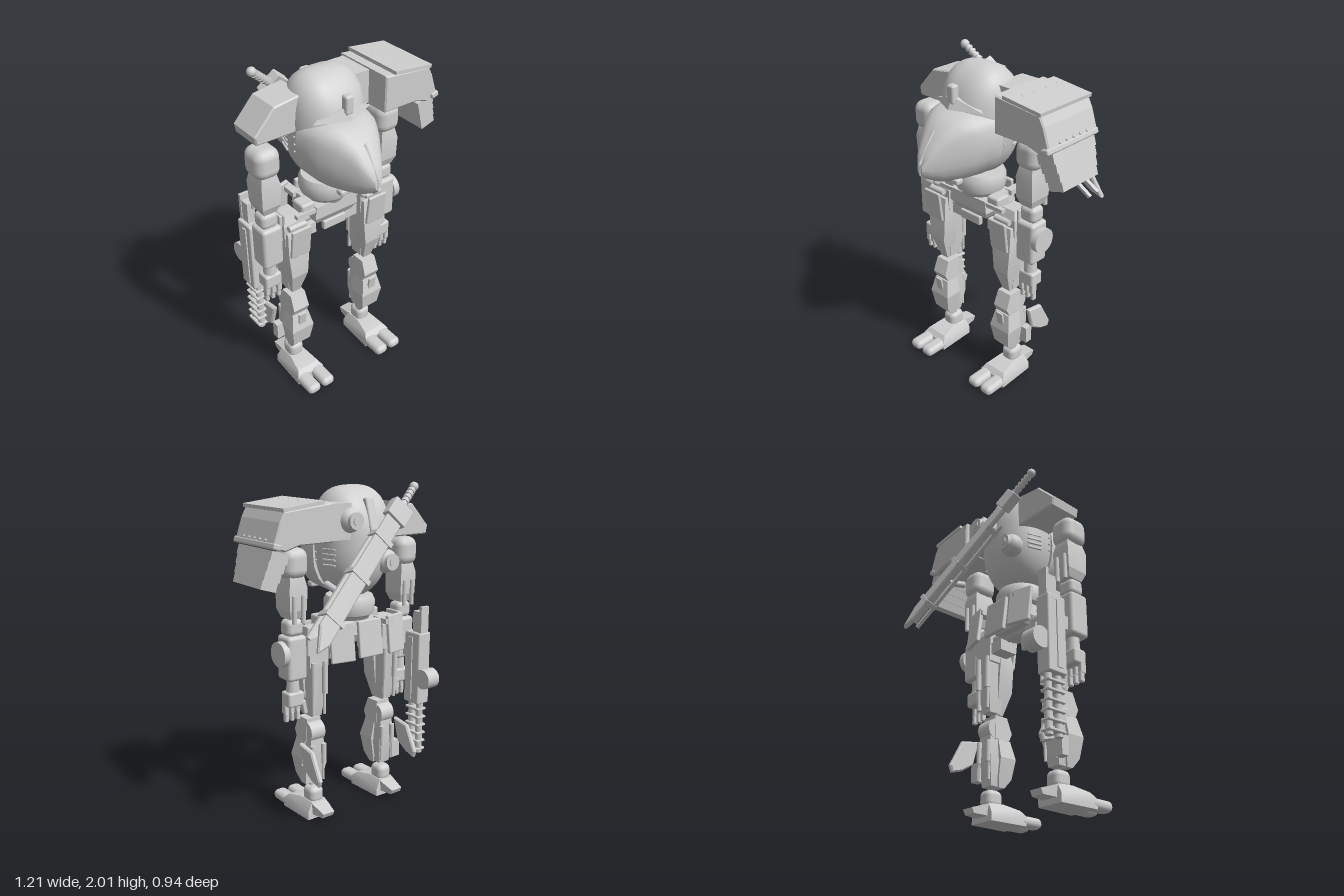
import * as THREE from 'three';
import { toCreasedNormals, mergeVertices } from 'three/addons/utils/BufferGeometryUtils.js';
import { RoundedBoxGeometry } from 'three/addons/geometries/RoundedBoxGeometry.js';
import { ConvexGeometry } from 'three/addons/geometries/ConvexGeometry.js';

const grey = new THREE.MeshStandardMaterial({ color: 0xcfcfcf });
grey.name = 'light grey armour';
const C = -0.12; // centre line of the body

function add(parent, name, geo, x = 0, y = 0, z = 0, rx = 0, ry = 0, rz = 0) {
  const m = new THREE.Mesh(geo, grey);
  m.name = name;
  m.position.set(x, y, z);
  m.rotation.set(rx, ry, rz);
  parent.add(m);
  return m;
}
function group(parent, name, x = 0, y = 0, z = 0) {
  const g = new THREE.Group();
  g.name = name;
  g.position.set(x, y, z);
  parent.add(g);
  return g;
}
const box = (w, h, d) => new THREE.BoxGeometry(w, h, d);
const round = (w, h, d, r = 0.02) => new RoundedBoxGeometry(w, h, d, 3, r);
const ball = r => new THREE.SphereGeometry(r, 20, 14);
const cyl = (r0, r1, h, n = 24) => new THREE.CylinderGeometry(r0, r1, h, n);
const cylX = (r, h) => cyl(r, r, h, 28).rotateZ(Math.PI / 2);
const cylZ = (r, h) => cyl(r, r, h, 28).rotateX(Math.PI / 2);
const hull = (pts, crease = 0.3) =>
  toCreasedNormals(new ConvexGeometry(pts.map(p => new THREE.Vector3(...p))), crease);

// Convex block from level rectangles [y, halfWidth, zBack, zFront]
const stack = levels => hull(levels.flatMap(([y, w, b, f]) => [[-w, y, b], [w, y, b], [w, y, f], [-w, y, f]]));

// Outline drawn in x,y and given a depth along z
function prism(pts, depth, bevel = 0.008) {
  const shape = new THREE.Shape(pts.map(p => new THREE.Vector2(...p)));
  const g = new THREE.ExtrudeGeometry(shape, { depth: depth - 2 * bevel, bevelSize: bevel, bevelThickness: bevel,
    bevelOffset: -bevel, bevelSegments: 1, bevelEnabled: true });
  return g.translate(0, 0, -depth / 2 + bevel);
}
// Outline drawn in z,y and given a width along x
const sidePrism = (pts, width) => prism(pts, width).rotateY(-Math.PI / 2);

function buildBody(root) {
  // Egg with a broad flat top: sphere vertices pushed out to a superellipsoid
  let egg = new THREE.SphereGeometry(1, 48, 32);
  egg.deleteAttribute('uv');
  egg.deleteAttribute('normal');
  egg = mergeVertices(egg, 1e-4);
  const p = egg.attributes.position, e = 2.1;
  for (let i = 0; i < p.count; i++) {
    const v = new THREE.Vector3().fromBufferAttribute(p, i);
    const k = v.y > 0 ? 3 : 2.2;
    const xy = (Math.abs(v.x) ** k + Math.abs(v.y) ** k) ** (e / k);
    v.multiplyScalar((xy + Math.abs(v.z) ** e) ** (-1 / e));
    p.setXYZ(i, v.x * 0.222, v.y * 0.325, v.z * 0.222);
  }
  egg.computeVertexNormals();
  add(root, 'torso', egg, C, 1.675, 0);

  // Cockpit: rounded sections [z, halfWidth, bottom, middle, top]
  const sections = [[0.06, 0.228, 1.37, 1.62, 1.785], [0.14, 0.222, 1.37, 1.61, 1.785], [0.22, 0.2, 1.375, 1.6, 1.78],
    [0.3, 0.153, 1.385, 1.58, 1.755], [0.37, 0.105, 1.4, 1.56, 1.69], [0.44, 0.056, 1.44, 1.53, 1.595], [0.475, 0.02, 1.475, 1.51, 1.53]];
  const power = (v, q) => Math.sign(v) * Math.abs(v) ** q;
  const pts = sections.flatMap(([z, w, b, m, t]) => Array.from({ length: 20 }, (_, i) => {
    const a = i * Math.PI / 10, sin = Math.sin(a), q = sin > 0 ? 0.6 : 0.9;
    return [w * power(Math.cos(a), q), m + power(sin, q) * (sin > 0 ? t - m : m - b), z];
  }));
  add(root, 'cockpit', hull(pts, 0.55), C, 0, 0);
  add(root, 'cockpitFin', sidePrism([[0.34, 1.66], [0.365, 1.71], [0.478, 1.54], [0.48, 1.47], [0.44, 1.43]], 0.018), C);
  add(root, 'sensorMast', round(0.052, 0.11, 0.05, 0.015), C, 1.865, 0.215);
  add(root, 'sensorHood', hull([[-0.19, 1.785, 0.17], [0.19, 1.785, 0.17], [0, 1.855, 0.225], [0, 1.785, 0.255], [0, 1.855, 0.1]]), C);
  add(root, 'chinBar', round(0.21, 0.035, 0.05, 0.012), C, 1.392, 0.275);
  add(root, 'chinSensor', ball(0.022), C, 1.39, 0.355);
  add(root, 'spineRidge', round(0.06, 0.24, 0.04, 0.012), C, 1.82, -0.19, 0.3);

  for (const s of [-1, 1]) {
    for (let i = 0; i < 4; i++)
      add(root, 'sideVent', round(0.012, 0.014, 0.09, 0.004), C + s * 0.208, 1.56 + i * 0.03, -0.07, 0, s * 0.3);
    for (let i = 0; i < 5; i++)
      add(root, 'rivet', ball(0.006), C + s * 0.22, 1.58 + i * 0.045, 0.04);
  }
  // Round thrusters on the back
  for (const [x, y] of [[0.025, 1.82], [-0.24, 1.57]]) {
    const t = group(root, 'thruster', x, y, -0.175);
    add(t, 'thrusterBall', ball(0.07));
    add(t, 'thrusterCap', cylZ(0.048, 0.06), 0, 0, -0.04);
    add(t, 'thrusterNozzle', cylZ(0.025, 0.07), 0, 0, -0.042);
  }
  add(root, 'swordMount', cylZ(0.02, 0.12), 0.195, 1.47, -0.25, -0.25);
}

function buildPelvis(root) {
  const g = group(root, 'pelvis', C);
  const waist = [[0, 1.2], [0.11, 1.2], [0.125, 1.235], [0.145, 1.25], [0.154, 1.28], [0.154, 1.33], [0.14, 1.36], [0, 1.365]];
  add(g, 'waist', toCreasedNormals(new THREE.LatheGeometry(waist.map(q => new THREE.Vector2(...q)), 36), 0.6), 0, 0, 0.01);
  add(g, 'hipBlock', stack([[1.09, 0.12, -0.09, 0.09], [1.14, 0.15, -0.12, 0.12], [1.22, 0.14, -0.11, 0.12]]));
  add(g, 'hipAxle', cylX(0.04, 0.46), 0, 1.11, 0);
  add(g, 'hipRail', box(0.54, 0.025, 0.03), 0, 1.2, 0.1);
  add(g, 'frontFlap', round(0.16, 0.06, 0.03, 0.008), 0, 1.06, 0.09);
  add(g, 'backFlap', round(0.17, 0.22, 0.025, 0.008), 0, 1.13, -0.19, 0.12);
  for (const s of [-1, 1]) {
    add(g, 'hipJoint', round(0.09, 0.08, 0.1, 0.015), s * 0.18, 1.215, 0.05);
    add(g, 'hipBracket', box(0.09, 0.07, 0.12), s * 0.15, 1.04, 0);
    add(g, 'rearSkirt', round(0.15, 0.23, 0.025, 0.008), s * 0.2, 1.13, -0.185, 0.12, s * -0.25);
    add(g, 'skirtHanger', box(0.05, 0.03, 0.12), s * 0.14, 1.21, -0.14);
  }
}

function buildLeg(root, s) {
  const g = group(root, s > 0 ? 'leftLeg' : 'rightLeg', C + s * 0.272);
  // Thigh
  add(g, 'hip', stack([[0.97, 0.065, -0.06, 0.08], [1.15, 0.066, -0.06, 0.08], [1.2, 0.045, -0.04, 0.06]]));
  add(g, 'hipSkirt', round(0.13, 0.2, 0.02, 0.008), 0, 1.06, 0.145, 0.12);
  add(g, 'skirtHinge', cylX(0.018, 0.11), 0, 1.15, 0.11);
  add(g, 'outerSkirt', round(0.02, 0.18, 0.12, 0.008), s * 0.07, 1.13, 0.0);
  add(g, 'thighArmour', stack([[0.65, 0.028, 0.03, 0.075], [0.8, 0.055, 0.02, 0.125], [0.97, 0.07, 0.02, 0.125], [1.1, 0.055, 0.02, 0.1]]));
  add(g, 'thighCore', stack([[0.655, 0.035, -0.03, 0.05], [0.75, 0.045, -0.045, 0.06], [1.0, 0.05, -0.06, 0.06]]));
  for (const x of [-0.04, 0.04]) {
    add(g, 'thighPiston', cyl(0.018, 0.018, 0.2, 14), x, 0.9, -0.06);
    add(g, 'pistonRod', cyl(0.01, 0.01, 0.16, 12), x, 0.75, -0.055);
    add(g, 'calfPiston', cyl(0.016, 0.016, 0.13, 14), x, 0.41, -0.045);
    add(g, 'calfRod', cyl(0.009, 0.009, 0.12, 12), x, 0.3, -0.04);
  }
  // Knee and shin
  add(g, 'kneeJoint', cylX(0.065, 0.1), 0, 0.55, 0.015);
  add(g, 'kneeGuard', stack([[0.49, 0.056, 0, 0.1], [0.54, 0.054, 0, 0.125], [0.635, 0.05, 0, 0.09]]));
  add(g, 'shinArmour', stack([[0.205, 0.05, 0.03, 0.07], [0.26, 0.06, 0.02, 0.115], [0.38, 0.077, 0.02, 0.135], [0.49, 0.055, 0.02, 0.11]]));
  add(g, 'shinPlate', box(0.05, 0.15, 0.012), 0, 0.43, 0.122, 0.15);
  add(g, 'shinCore', stack([[0.21, 0.04, -0.02, 0.06], [0.35, 0.06, -0.045, 0.06], [0.52, 0.045, -0.035, 0.06]]));
  add(g, 'calfFin', sidePrism([[-0.01, 0.5], [-0.13, 0.48], [-0.215, 0.32], [-0.2, 0.28], [-0.13, 0.3], [-0.05, 0.35]], 0.032), s * 0.1);
  add(g, 'finBracket', box(0.06, 0.11, 0.05), s * 0.07, 0.3, -0.03);
  // Ankle and foot
  add(g, 'ankle', round(0.1, 0.105, 0.11, 0.035), 0, 0.138, 0.012);
  add(g, 'foot', hull([...[-1, 1].flatMap(k => [[k * 0.095, 0, 0.2], [k * 0.085, 0, -0.055], [k * 0.095, 0.055, 0.2],
    [k * 0.075, 0.088, 0.17], [k * 0.055, 0.11, 0.06], [k * 0.05, 0.105, -0.045], [k * 0.085, 0.05, -0.055]])], 0.6));
  add(g, 'heel', hull([-1, 1].flatMap(k => [[k * 0.055, 0.03, -0.03], [k * 0.055, 0.105, -0.03], [k * 0.04, 0.035, -0.14], [k * 0.04, 0.065, -0.155]])));
  for (const x of [-0.052, 0.052]) add(g, 'toe', round(0.09, 0.064, 0.17, 0.03), x, 0.033, 0.245);
}

function buildArm(root, s) {
  const g = group(root, s > 0 ? 'leftArm' : 'rightArm', C + s * 0.41, 0, 0.015);
  add(g, 'shoulder', round(0.155, 0.175, 0.17, 0.055), 0, 1.585, 0);
  add(g, 'upperArm', stack([[1.27, 0.04, -0.05, 0.05], [1.32, 0.058, -0.07, 0.07], [1.45, 0.06, -0.075, 0.075], [1.52, 0.045, -0.06, 0.06]]));
  for (const x of [-0.03, 0.03]) add(g, 'armPiston', cyl(0.014, 0.014, 0.16, 12), x, 1.33, -0.075);
  add(g, 'elbow', round(0.11, 0.1, 0.1, 0.03), 0, 1.215, 0);
  add(g, 'forearm', round(0.13, 0.265, 0.13, 0.022), 0, 1.037, 0);
  if (s > 0) add(g, 'forearmDisc', cylX(0.075, 0.04), 0.078, 1.065, 0);
  add(g, 'wrist', cyl(0.035, 0.04, 0.1), 0, 0.87, 0);
  // Hand
  add(g, 'palm', round(0.11, 0.09, 0.09, 0.015), 0, 0.785, 0);
  for (const x of [-0.04, 0, 0.04]) {
    add(g, 'finger', round(0.03, 0.07, 0.04, 0.008), x, 0.725, 0.02);
    add(g, 'fingertip', round(0.025, 0.06, 0.032, 0.008), x, 0.67, 0.014);
  }
  add(g, 'thumb', round(0.028, 0.09, 0.035, 0.008), -s * 0.055, 0.73, -0.03, 0, 0, -s * 0.2);
}

function buildShoulderArmour(root) {
  // Large left guard with hanging slats
  const l = group(root, 'leftShoulderGuard');
  add(l, 'guardArm', box(0.16, 0.2, 0.23), 0.1, 1.815, -0.07);
  add(l, 'guardShell', prism([[0.16, 1.925], [0.47, 1.895], [0.5, 1.84], [0.545, 1.71], [0.47, 1.685], [0.38, 1.71], [0.16, 1.71]], 0.4), 0, 0, -0.01);
  add(l, 'guardTop', box(0.26, 0.02, 0.41), 0.352, 1.915, -0.01, 0, 0, -0.11);
  add(l, 'guardEdge', round(0.05, 0.035, 0.42, 0.01), 0.52, 1.715, -0.005, 0, 0, 0.3);
  for (let i = 0; i < 4; i++) {
    add(l, 'slat', box(0.11 - i * 0.004, 0.055, 0.345 - i * 0.018), 0.492 + i * 0.017, 1.655 - i * 0.049, -0.015, 0, 0, 0.3);
    add(l, 'topRivet', ball(0.007), 0.29, 1.93, -0.165 + i * 0.092);
  }
  for (let i = 0; i < 5; i++) add(l, 'sideRivet', ball(0.008), 0.535, 1.745, -0.12 + i * 0.055);

  // Smaller right guard
  const r = group(root, 'rightShoulderGuard');
  add(r, 'guardShell', prism([[-0.28, 1.91], [-0.46, 1.885], [-0.585, 1.75], [-0.575, 1.7], [-0.28, 1.7]], 0.21), 0, 0, -0.055);
}

function buildSword(root) {
  // Local x runs from pommel to tip, y across the blade, z out of its flat
  const from = new THREE.Vector3(-0.435, 1.985, -0.19), to = new THREE.Vector3(0.46, 1.2, -0.445);
  const d = to.clone().sub(from).normalize();
  const n = new THREE.Vector3(1, 0, 0).cross(d).normalize();
  const g = group(root, 'sword', ...from.toArray());
  g.quaternion.setFromRotationMatrix(new THREE.Matrix4().makeBasis(d, n.clone().cross(d), n));
  add(g, 'pommel', ball(0.027));
  add(g, 'grip', cylX(0.018, 0.2), 0.1, 0, 0);
  for (let i = 0; i < 5; i++) add(g, 'gripRing', cylX(0.024, 0.016), 0.035 + i * 0.028, 0, 0);
  add(g, 'guard', round(0.12, 0.14, 0.06, 0.006), 0.215, 0, 0);
  add(g, 'blade', prism([[0.27, -0.055], [1.08, -0.055], [1.215, 0.02], [1.14, 0.055], [0.27, 0.055]], 0.03));
  for (const y of [-0.045, 0.045]) add(g, 'scabbardRail', box(0.8, 0.025, 0.02), 0.76, y, -0.05);
  for (const x of [0.42, 0.7, 1.0]) {
    add(g, 'clampFront', box(0.03, 0.13, 0.01), x, 0, 0.017);
    for (const y of [-0.06, 0.06]) add(g, 'clampSide', box(0.03, 0.012, 0.082), x, y, -0.019);
  }
}

function buildRifle(root) {
  const g = group(root, 'rifle', -0.535, 0, -0.155);
  add(g, 'receiver', round(0.095, 0.46, 0.13, 0.01), 0, 0.87, 0);
  add(g, 'receiverRib', box(0.11, 0.4, 0.035), 0, 0.87, 0.01);
  add(g, 'stock', box(0.05, 0.16, 0.06), 0, 1.15, -0.01);
  add(g, 'stockPlate', box(0.06, 0.19, 0.02), 0, 1.17, -0.05);
  add(g, 'drumMagazine', cylX(0.062, 0.09), 0.01, 0.82, -0.105);
  add(g, 'armClamp', box(0.05, 0.08, 0.13), 0, 0.97, 0.1);
  for (const z of [-0.035, 0.035]) add(g, 'barrel', cyl(0.022, 0.022, 0.35, 16), 0, 0.48, z);
  for (let i = 0; i < 6; i++) add(g, 'barrelRib', round(0.07, 0.016, 0.12, 0.006), 0, 0.6 - i * 0.054, 0);
}

export function createModel() {
  const root = new THREE.Group();
  root.name = 'walkingMech';
  buildBody(root);
  buildPelvis(root);
  for (const s of [-1, 1]) {
    buildLeg(root, s);
    buildArm(root, s);
  }
  buildShoulderArmour(root);
  buildSword(root);
  buildRifle(root);
  return root;
}
